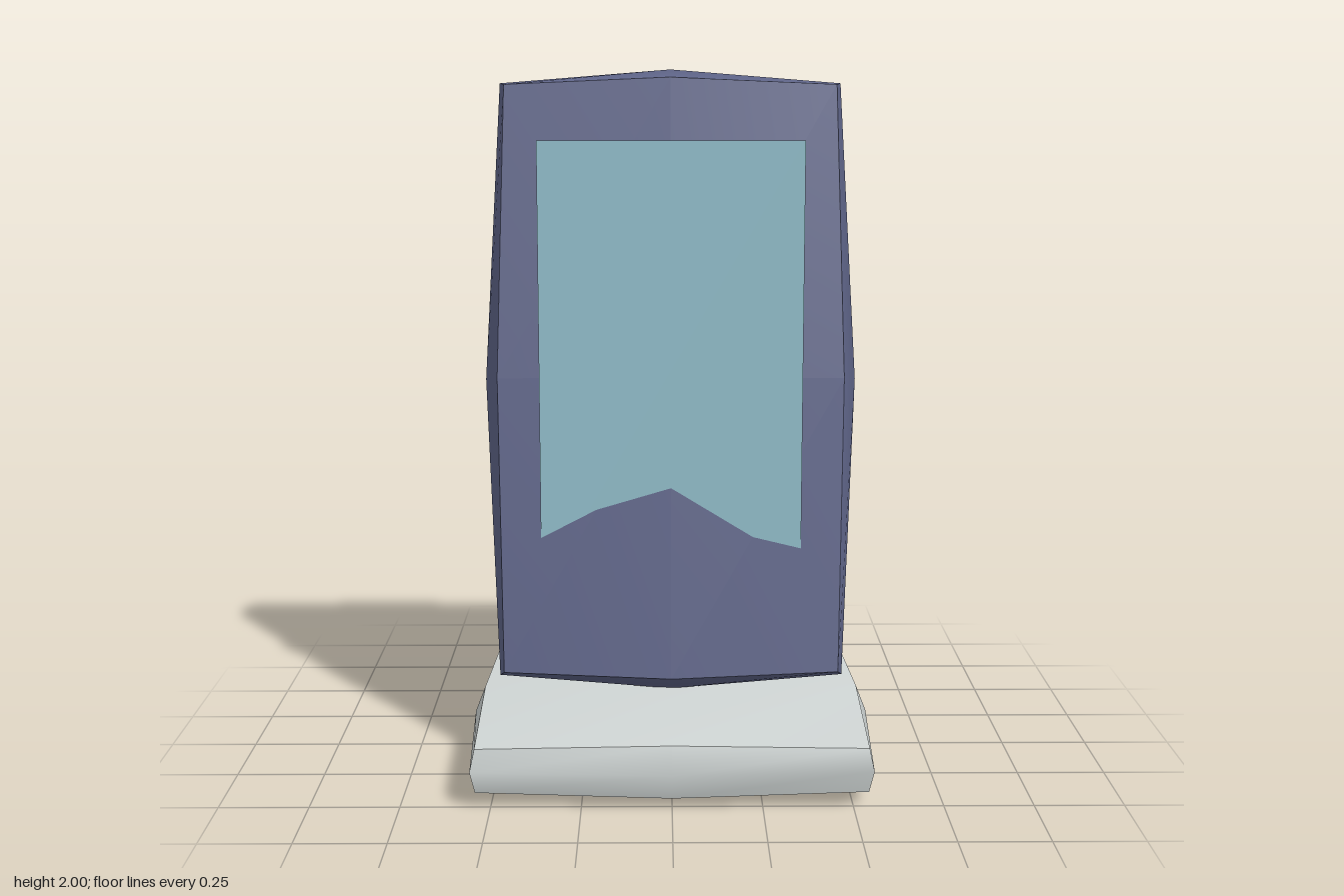
import * as THREE from 'three';

// Pillow-like block: a 2x2x2 box whose points sit on a small core pushed out by r.
function pillow(hx, hy, hz, r) {
  const geo = new THREE.BoxGeometry(2, 2, 2, 2, 2, 2);
  const core = new THREE.Vector3(hx - r, hy - r, hz - r);
  const pos = geo.attributes.position;
  const p = new THREE.Vector3();
  for (let i = 0; i < pos.count; i++) {
    p.fromBufferAttribute(pos, i).round();
    const push = p.clone().normalize().multiplyScalar(r);
    p.multiply(core).add(push);
    pos.setXYZ(i, p.x, p.y, p.z);
  }
  geo.computeVertexNormals(); // smooth inside each side, sharp between sides
  return geo;
}

function part(name, geo, mat, x, y, z) {
  const mesh = new THREE.Mesh(geo, mat);
  mesh.name = name;
  mesh.position.set(x, y, z);
  return mesh;
}

export function createModel() {
  const group = new THREE.Group();
  group.name = 'screenStand';

  const baseGrey = new THREE.MeshStandardMaterial({ name: 'base grey', color: 0xd0d6d5 });
  const bodyBlue = new THREE.MeshStandardMaterial({ name: 'body slate blue', color: 0x60668a });
  const screenTeal = new THREE.MeshStandardMaterial({
    name: 'screen teal', color: 0x96c3d0, side: THREE.DoubleSide,
  });

  // Flat base
  group.add(part('base', pillow(0.585, 0.105, 0.545, 0.1), baseGrey, 0, 0.105, 0));

  // Tall body leaning back
  const body = part('body', pillow(0.545, 0.915, 0.145, 0.14), bodyBlue, 0, 1.1, -0.085);
  body.rotation.x = -0.18;
  group.add(body);

  // Upright screen sheet, its lower end buried in the body
  const top = 1.805, bottom = 0.5;
  group.add(part('screen', new THREE.PlaneGeometry(0.755, top - bottom), screenTeal,
    0, (top + bottom) / 2, 0.1));

  return group;
}
